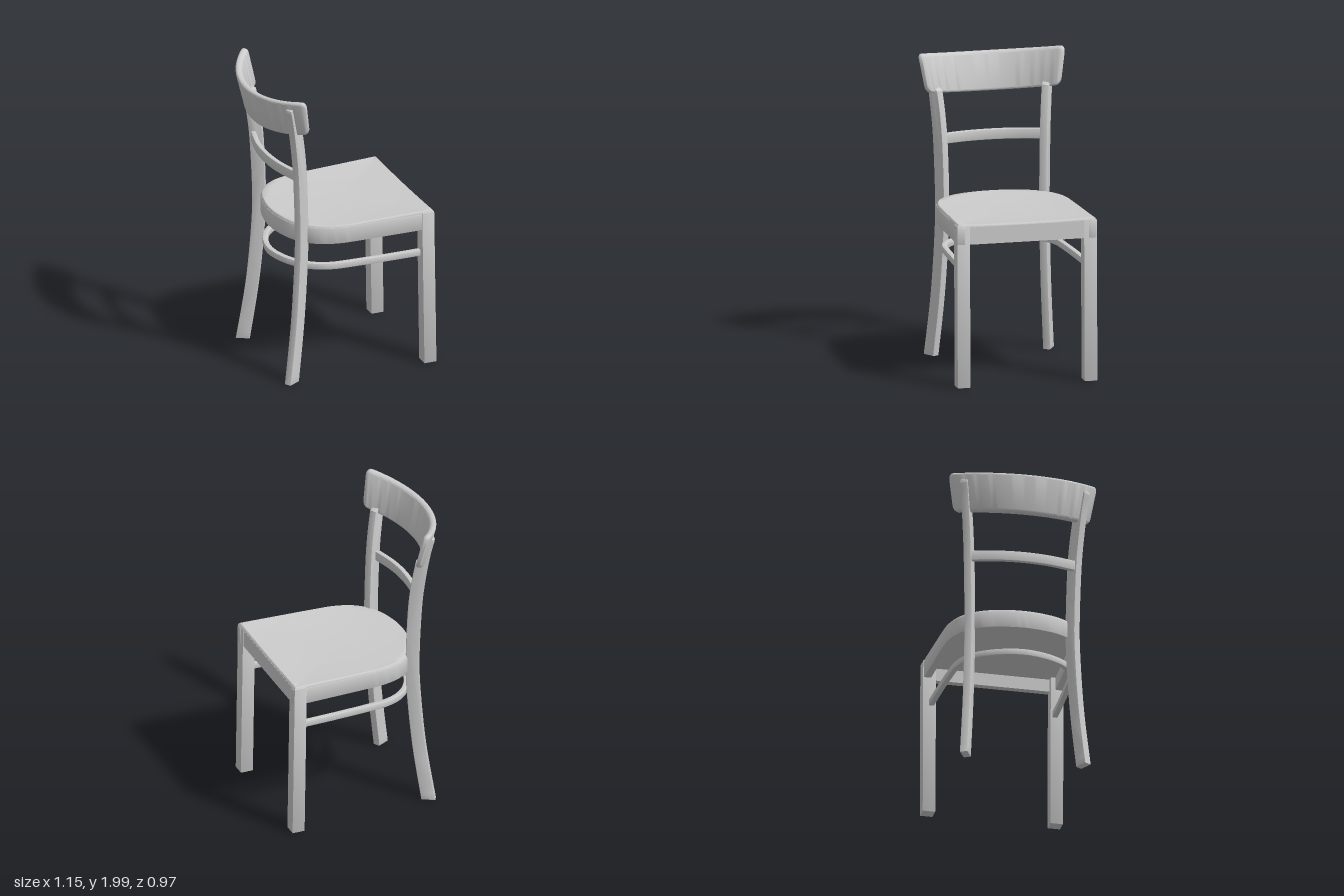
import * as THREE from 'three';
import { toCreasedNormals } from 'three/addons/utils/BufferGeometryUtils.js';

const material = new THREE.MeshStandardMaterial({ color: 0xcccccc, side: THREE.DoubleSide });
const V2 = (x, y) => new THREE.Vector2(x, y);

function part(group, name, geometry) {
  const mesh = new THREE.Mesh(geometry, material);
  mesh.name = name;
  group.add(mesh);
  return mesh;
}

// Smooth U-shaped plan curve (x, z) from half the points, mirrored over z = 0
function planCurve(half, n = 72) {
  const pts = half.map(([x, z]) => V2(x, -z));
  for (let i = half.length - 2; i >= 0; i--) pts.push(V2(half[i][0], half[i][1]));
  return new THREE.SplineCurve(pts).getPoints(n);
}

// Shift a plan curve inward by d
function inset(pts, d) {
  return pts.map((p, i) => {
    const a = pts[Math.max(i - 1, 0)], b = pts[Math.min(i + 1, pts.length - 1)];
    const t = b.clone().sub(a).normalize();
    return V2(p.x + t.y * d, p.y - t.x * d);
  });
}

// Bent strip of constant thickness following a plan curve
function band(pts, thickness, y0, y1, bevel = 0.006) {
  const outline = [...inset(pts, bevel), ...inset(pts, thickness - bevel).reverse()];
  const geo = new THREE.ExtrudeGeometry(new THREE.Shape(outline), {
    depth: y1 - y0 - 2 * bevel, bevelSize: bevel, bevelThickness: bevel, bevelSegments: 2,
  });
  geo.rotateX(Math.PI / 2).translate(0, y1 - bevel, 0);
  return toCreasedNormals(geo, 0.6);
}

// Surface through equal-length rings of points
function loft(rings) {
  const m = rings[0].length, pos = [], idx = [];
  rings.forEach(r => r.forEach(p => pos.push(...p)));
  for (let i = 0; i < rings.length - 1; i++) {
    for (let j = 0; j < m; j++) {
      const a = i * m + j, b = i * m + (j + 1) % m;
      idx.push(a, b, a + m, b, b + m, a + m);
    }
  }
  const geo = new THREE.BufferGeometry();
  geo.setAttribute('position', new THREE.Float32BufferAttribute(pos, 3));
  geo.setIndex(idx);
  return toCreasedNormals(geo, 0.7);
}

// Dished seat panel: rings from the top centre out, over the edge and under
function seatPanel(outline) {
  const edge = [...outline];
  for (let i = 1; i < 20; i++) {
    edge.push(outline[outline.length - 1].clone().lerp(outline[0], i / 20));
  }
  edge.reverse();
  const cx = 0.08;
  const ring = (s, yOf) => edge.map(p => {
    const x = cx + (p.x - cx) * s, z = p.y * s;
    return [x, yOf(x, z), z];
  });
  const top = s => (x, z) =>
    1.05 + 0.016 * s * s + 0.008 * Math.max(0, x / 0.55) * (z / 0.46) ** 2;
  const rings = [];
  for (let i = 0; i <= 12; i++) {
    const s = 0.98 * i / 12;
    rings.push(ring(s, top(s)));
  }
  rings.push(ring(0.995, (x, z) => top(1)(x, z) - 0.006));
  rings.push(ring(1, (x, z) => top(1)(x, z) - 0.014));
  rings.push(ring(1, () => 1.025), ring(0, () => 1.025));
  return loft(rings);
}

// Curved, leaning top rail: rounded section carried round an arc
function backrest() {
  const cx = 0.135, R = 0.71, H = 0.25, T = 0.046, aMax = 0.775;
  const section = [];
  const c = 0.02;
  [[1, 1], [-1, 1], [-1, -1], [1, -1]].forEach(([sx, sy], k) => {
    for (let i = 0; i <= 4; i++) {
      const a = (k + i / 4) * Math.PI / 2;
      section.push([sx * (T / 2 - c) + c * Math.cos(a), sy, c * Math.sin(a)]);
    }
  });
  const station = (a, trim, thick) => section.map(([r, sy, dy]) => {
    const half = Math.max(H / 2 - c - trim, 0);
    const h = H / 2 + sy * half + dy * (thick > 0 ? 1 : 0);
    const rad = R - T / 2 + r * thick - 0.06 * (1 - h / H);
    const y = 1.7 + 0.05 * (a / aMax) ** 2 + h;
    return [cx - rad * Math.cos(a), y, rad * Math.sin(a)];
  });
  // ends round off in height and thickness: [angle back from tip, trim, thickness]
  const tip = [[0, 0.1, 0], [0, 0.026, 0.5], [0.012, 0.012, 0.8], [0.03, 0.003, 0.96], [0.05, 0, 1]];
  const rings = tip.map(([d, t, k]) => station(-aMax + d, t, k));
  for (let i = 1; i < 40; i++) rings.push(station((aMax - 0.05) * (i / 20 - 1), 0, 1));
  [...tip].reverse().forEach(([d, t, k]) => rings.push(station(aMax - d, t, k)));
  return loft(rings);
}

// Sabre-curved back leg; x runs outward, thinner where it backs the top rail
function backLeg() {
  const rear = new THREE.SplineCurve([
    V2(0.145, 0), V2(0.082, 0.4), V2(0.046, 0.8), V2(0.04, 1.05), V2(0.056, 1.4),
    V2(0.078, 1.6), V2(0.112, 1.8), V2(0.138, 1.91)]).getPoints(36);
  const front = new THREE.SplineCurve([
    V2(0.055, 0), V2(-0.004, 0.4), V2(-0.04, 0.8), V2(-0.046, 1.05), V2(-0.032, 1.4),
    V2(-0.01, 1.6), V2(0.018, 1.75)]).getPoints(36);
  const tip = [V2(0.136, 1.925), V2(0.122, 1.936), V2(0.1, 1.925), V2(0.062, 1.78)];
  const geo = new THREE.ExtrudeGeometry(new THREE.Shape([...rear, ...tip, ...front.reverse()]), {
    depth: 0.04, bevelSize: 0.005, bevelOffset: -0.005, bevelThickness: 0.005, bevelSegments: 2,
  });
  return toCreasedNormals(geo.translate(0, 0, -0.02), 0.5);
}

// Square front leg, splayed slightly forward towards the floor
function frontLeg() {
  const s = 0.042, b = 0.006;
  const square = new THREE.Shape([V2(-s + b, -s + b), V2(s - b, -s + b), V2(s - b, s - b), V2(-s + b, s - b)]);
  const geo = new THREE.ExtrudeGeometry(square, {
    depth: 1.062 - 2 * b, bevelSize: b, bevelThickness: b, bevelSegments: 2,
  });
  geo.rotateX(-Math.PI / 2).translate(0, b, 0);
  const p = geo.attributes.position;
  for (let i = 0; i < p.count; i++) p.setX(i, p.getX(i) + 0.527 - 0.015 * p.getY(i));
  return toCreasedNormals(geo, 0.5);
}

export function createModel() {
  const chair = new THREE.Group();
  chair.name = 'chair';

  const seatCurve = planCurve([[0.55, 0.46], [0.3, 0.453], [0, 0.443], [-0.1, 0.433], [-0.2, 0.402],
    [-0.28, 0.347], [-0.35, 0.25], [-0.39, 0.12], [-0.402, 0]]);
  const hoopCurve = planCurve([[0.5, 0.425], [0.25, 0.418], [0, 0.405], [-0.12, 0.392], [-0.22, 0.355],
    [-0.31, 0.278], [-0.38, 0.15], [-0.41, 0]]);
  const railCurve = planCurve([[-0.378, 0.34], [-0.421, 0.17], [-0.435, 0]], 32);

  // seat
  part(chair, 'seatPanel', seatPanel(inset(seatCurve, 0.003)));
  part(chair, 'seatFrame', band(seatCurve, 0.05, 0.94, 1.053));
  part(chair, 'frontApron', new THREE.BoxGeometry(0.045, 0.113, 0.86).translate(0.529, 0.9965, 0));

  // rails
  part(chair, 'stretcherHoop', band(hoopCurve, 0.036, 0.745, 0.788));
  part(chair, 'middleBackRail', band(railCurve, 0.032, 1.395, 1.463));
  part(chair, 'backrest', backrest());

  // legs
  for (const side of [1, -1]) {
    const name = side > 0 ? 'Left' : 'Right';
    part(chair, 'frontLeg' + name, frontLeg()).position.z = side * 0.42;
    const leg = part(chair, 'backLeg' + name, backLeg());
    leg.position.set(-0.325, 0, side * 0.34);
    leg.rotation.y = -side * (Math.PI - 0.51);
  }

  // slight turn of the whole chair
  chair.rotation.y = 0.015;
  chair.position.z = -0.007;
  const model = new THREE.Group();
  model.add(chair);
  return model;
}
